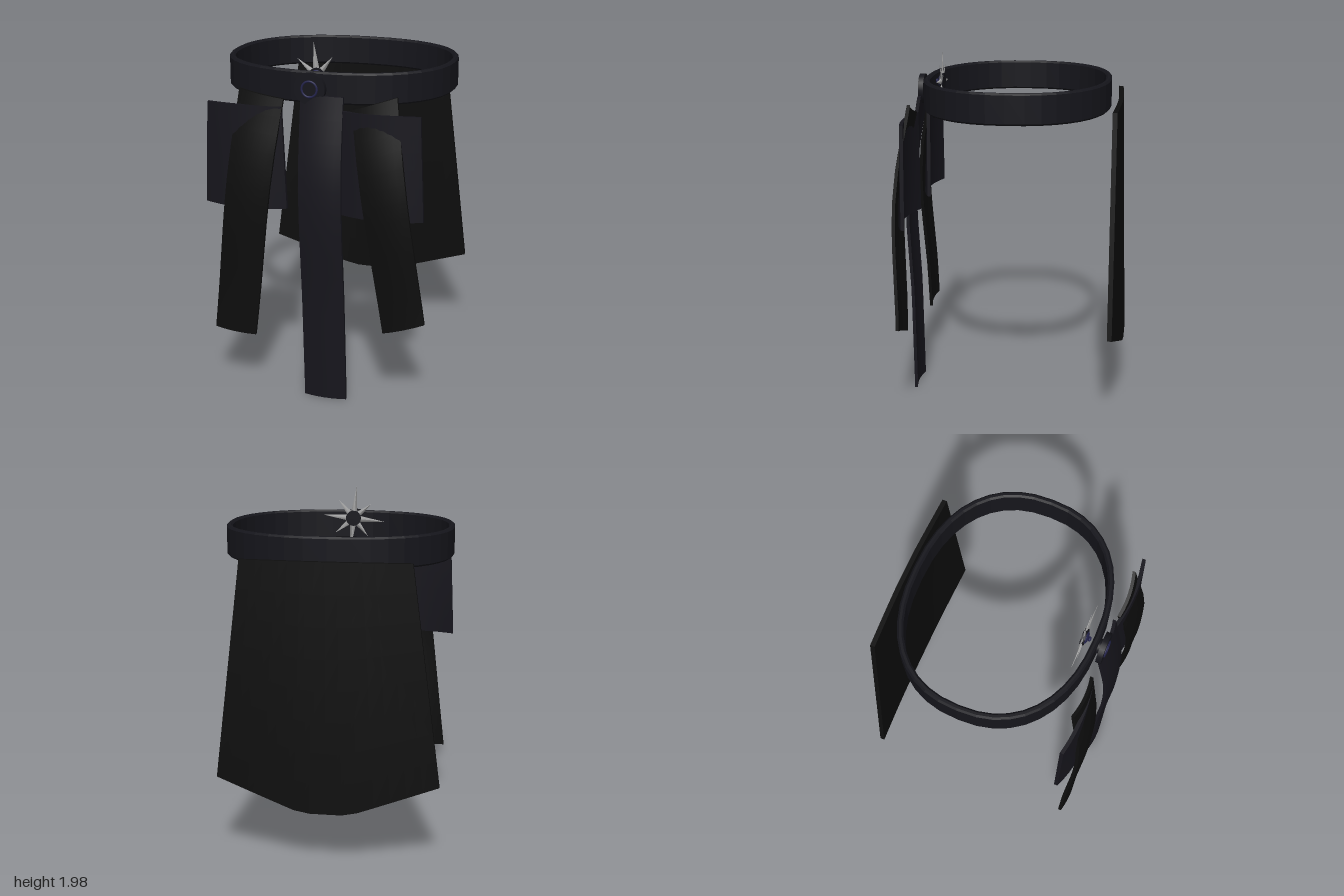
import * as THREE from 'three';

const mat = (color, side = THREE.FrontSide) => new THREE.MeshStandardMaterial({ color, side });
const lerp = THREE.MathUtils.lerp;

// Piecewise linear lookup in [key, value] pairs with rising keys
function lookup(table, k) {
  if (k <= table[0][0]) return table[0][1];
  for (let i = 1; i < table.length; i++) {
    const [a, va] = table[i - 1], [b, vb] = table[i];
    if (k <= b) return lerp(va, vb, (k - a) / (b - a));
  }
  return table[table.length - 1][1];
}

// Thin curved cloth: a subdivided box whose points are placed by
// rule(u, v) -> [x, y, z]; u runs left to right, v from top to bottom
function cloth(name, material, nx, ny, thickness, rule) {
  const geo = new THREE.BoxGeometry(1, 1, 1, nx, ny, 1);
  const p = geo.attributes.position;
  for (let i = 0; i < p.count; i++) {
    const [x, y, z] = rule(p.getX(i) + 0.5, 0.5 - p.getY(i));
    p.setXYZ(i, x, y, z + p.getZ(i) * thickness);
  }
  geo.computeVertexNormals();
  const mesh = new THREE.Mesh(geo, material);
  mesh.name = name;
  return mesh;
}

// Depth of the hanging straps by height: tucked in at the belt, bulging, then falling back
const strapDepth = [[0, 0.59], [0.6, 0.6], [1, 0.622], [1.2, 0.623], [1.4, 0.605], [1.65, 0.558], [1.74, 0.543]];

// Strap between four corners: top left, top right, bottom left, bottom right
function strap(name, material, [tl, tr, bl, br]) {
  return cloth(name, material, 6, 14, 0.018, (u, v) => {
    const x = lerp(lerp(tl[0], tr[0], u), lerp(bl[0], br[0], u), v);
    const y = lerp(lerp(tl[1], tr[1], u), lerp(bl[1], br[1], u), v);
    const s = 2 * u - 1;
    return [x, y, lookup(strapDepth, y) - 0.015 * s * s];
  });
}

// Rounded oval outline of the waist
function oval(target, rx, rz) {
  const pts = [], n = 2 / 2.3, count = 40;
  for (let i = 0; i < count; i++) {
    const a = (i / count) * Math.PI * 2, c = Math.cos(a), s = Math.sin(a);
    pts.push(new THREE.Vector2(Math.sign(c) * rx * Math.abs(c) ** n, Math.sign(s) * rz * Math.abs(s) ** n));
  }
  return target.setFromPoints(pts);
}

export function createModel() {
  const model = new THREE.Group();
  model.name = 'beltWithHangingPanels';
  const beltMat = mat(0x15151b), darkCloth = mat(0x0d0d0d), lightCloth = mat(0x16151c);
  const silver = mat(0xaaaaaa), gemMat = mat(0x24244c);

  const add = (name, geo, material, x, y, z, parent = model) => {
    const mesh = new THREE.Mesh(geo, material);
    mesh.name = name;
    mesh.position.set(x, y, z);
    parent.add(mesh);
    return mesh;
  };

  // Belt
  const ring = oval(new THREE.Shape(), 0.63, 0.513);
  ring.holes.push(oval(new THREE.Path(), 0.617, 0.5));
  const beltGeo = new THREE.ExtrudeGeometry(ring, {
    depth: 0.15, bevelEnabled: true, bevelSize: 0.01, bevelThickness: 0.01, bevelSegments: 1,
  });
  beltGeo.rotateX(-Math.PI / 2);
  add('belt', beltGeo, beltMat, 0, 1.68, -0.012);

  // Wide back panel with a drooping hem
  const hem = [[-0.62, 0.5], [-0.13, 0.33], [0.13, 0.33], [0.61, 0.5]];
  model.add(cloth('backPanel', darkCloth, 14, 8, 0.026, (u, v) => {
    const s = 2 * u - 1;
    const xb = lerp(-0.62, 0.61, u);
    const flat = Math.max(0, (Math.abs(s) - 0.2) / 0.8);
    const z = lerp(-0.588, -0.622, v) + lerp(0.015, 0.049, v) * flat ** 1.2;
    return [lerp(0.46 * s, xb, v), lerp(1.72, lookup(hem, xb), v), z];
  }));

  // Short side flaps
  for (const [side, name] of [[1, 'leftFlap'], [-1, 'rightFlap']]) {
    model.add(cloth(name, lightCloth, 10, 6, 0.02, (u, v) => {
      const s = 2 * u - 1;
      const x = side * lerp(0.38, 0.38, v) + s * lerp(0.21, 0.235, v);
      return [x, lerp(1.65, 1.085, v), lerp(0.567, 0.595, v) - lerp(0.022, 0.05, v) * s * s];
    }));
  }

  // Long hanging straps
  model.add(
    strap('rightStrap', darkCloth, [[-0.41, 1.73], [-0.16, 1.69], [-0.57, 0.35], [-0.33, 0.33]]),
    strap('leftStrap', darkCloth, [[0.22, 1.66], [0.46, 1.74], [0.41, 0.44], [0.64, 0.52]]),
    strap('centreStrap', lightCloth, [[-0.065, 1.73], [0.17, 1.72], [-0.04, 0.005], [0.2, 0.005]]),
  );

  // Round clasp on the front of the belt
  const clasp = new THREE.Group();
  clasp.name = 'clasp';
  clasp.position.set(-0.01, 1.755, 0);
  model.add(clasp);
  const disc = (r, d) => new THREE.CylinderGeometry(r, r, d, 24).rotateX(Math.PI / 2);
  add('claspPin', disc(0.04, 0.06), beltMat, 0, 0, 0.51, clasp);
  add('claspDisc', disc(0.085, 0.03), beltMat, 0, 0, 0.54, clasp);
  add('claspRim', new THREE.TorusGeometry(0.042, 0.006, 8, 24), gemMat, 0, 0, 0.556, clasp);

  // Eight-pointed star behind the clasp
  const star = new THREE.Group();
  star.name = 'star';
  star.position.set(-0.01, 1.8, 0.428);
  star.rotation.z = 0.1;
  model.add(star);
  for (let i = 0; i < 8; i++) {
    const length = i % 2 ? 0.14 : 0.19;
    const spike = new THREE.ConeGeometry(0.022, length, 4);
    spike.translate(0, length / 2, 0).scale(1, 1, 0.35);
    add('starSpike', spike, silver, 0, 0, 0, star).rotation.z = (i * Math.PI) / 4;
  }
  add('starHub', disc(0.045, 0.022), beltMat, 0, 0, 0, star);
  add('starGem', new THREE.SphereGeometry(0.035, 16, 10).scale(1, 1, 0.4), gemMat, 0, 0, 0.01, star);
  add('starStud', new THREE.SphereGeometry(0.014, 12, 8).scale(1, 1, 0.6), gemMat, 0, 0, 0.03, star);

  return model;
}
